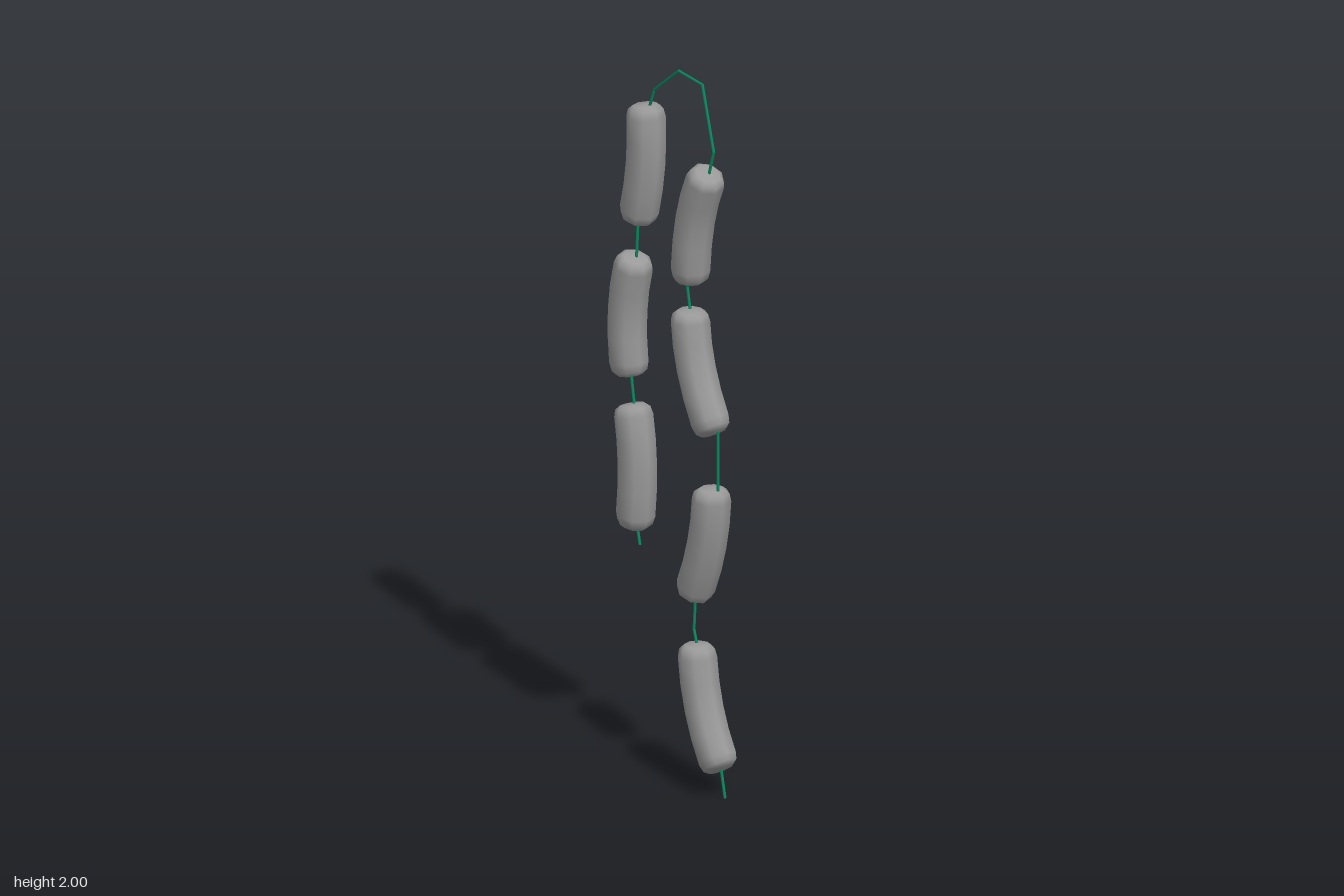
import * as THREE from 'three';
import { mergeVertices } from 'three/addons/utils/BufferGeometryUtils.js';

const point = ([z, y]) => new THREE.Vector3(0, y, z);
const X = new THREE.Vector3(1, 0, 0);

// Sausage profile: radius, position along the length (0 bottom, 1 top)
const PROFILE = [
  [0, 0], [0.034, 0.008], [0.048, 0.04], [0.053, 0.1], [0.053, 0.3], [0.053, 0.5],
  [0.053, 0.7], [0.053, 0.9], [0.048, 0.96], [0.034, 0.992], [0, 1],
].map(([r, t]) => new THREE.Vector2(r, t));

// Eight-sided lathe bent along an arc through three points
function sausageGeometry(bottom, mid, top) {
  const control = mid.clone().multiplyScalar(2).addScaledVector(bottom, -0.5).addScaledVector(top, -0.5);
  const curve = new THREE.QuadraticBezierCurve3(bottom, control, top);
  let geo = new THREE.LatheGeometry(PROFILE, 8);
  const pos = geo.attributes.position;
  for (let i = 0; i < pos.count; i++) {
    const t = THREE.MathUtils.clamp(pos.getY(i), 0, 1);
    const side = new THREE.Vector3().crossVectors(X, curve.getTangent(t));
    const p = curve.getPoint(t).addScaledVector(X, pos.getX(i)).addScaledVector(side, pos.getZ(i));
    pos.setXYZ(i, p.x, p.y, p.z);
  }
  geo.deleteAttribute('uv');
  geo.deleteAttribute('normal');
  geo = mergeVertices(geo, 1e-5);
  geo.computeVertexNormals();
  return geo;
}

// Each sausage as [z, y] of its top, middle and bottom
const FRONT_CHAIN = [
  [[0.16, 1.75], [0.1, 1.6], [0.078, 1.415]],
  [[0.078, 1.34], [0.105, 1.18], [0.188, 1.02]],
  [[0.175, 0.865], [0.153, 0.7], [0.088, 0.535]],
  [[0.108, 0.405], [0.14, 0.23], [0.22, 0.08]],
];
const BACK_CHAIN = [
  [[-0.125, 1.86], [-0.124, 1.69], [-0.162, 1.52]],
  [[-0.168, 1.415], [-0.205, 1.25], [-0.193, 1.07]],
  [[-0.185, 0.995], [-0.161, 0.83], [-0.174, 0.65]],
];

// Exposed stretches of string, [z, y]
const STRINGS = [
  [[0.21, 0.1], [0.232, 0.005]],
  [[0.1, 0.55], [0.092, 0.44], [0.108, 0.39]],
  [[0.201, 0.85], [0.201, 1.03]],
  [[0.077, 1.43], [0.062, 1.4], [0.078, 1.32]],
  [[0.158, 1.74], [0.181, 1.815], [0.13, 1.99], [0.024, 1.997], [-0.087, 1.91], [-0.115, 1.84]],
  [[-0.159, 1.54], [-0.168, 1.4]],
  [[-0.194, 1.09], [-0.175, 0.98]],
  [[-0.168, 0.67], [-0.152, 0.605]],
];

export function createModel() {
  const group = new THREE.Group();
  const meat = new THREE.MeshStandardMaterial({ color: 0x999999 });
  const green = new THREE.MeshStandardMaterial({ color: 0x0a8a62 });

  // Two hanging rows of sausages
  for (const [name, chain] of [['frontChain', FRONT_CHAIN], ['backChain', BACK_CHAIN]]) {
    const row = new THREE.Group();
    row.name = name;
    chain.forEach(([top, mid, bottom], i) => {
      const mesh = new THREE.Mesh(sausageGeometry(point(bottom), point(mid), point(top)), meat);
      mesh.name = `sausage${i + 1}`;
      row.add(mesh);
    });
    group.add(row);
  }

  // Thin string in straight segments
  const string = new THREE.Group();
  string.name = 'string';
  string.position.x = 0.002;
  for (const path of STRINGS) {
    for (let i = 1; i < path.length; i++) {
      const a = point(path[i - 1]);
      const b = point(path[i]);
      const dir = b.clone().sub(a);
      const seg = new THREE.Mesh(new THREE.CylinderGeometry(0.004, 0.004, dir.length() + 0.002, 6), green);
      seg.position.copy(a).add(b).multiplyScalar(0.5);
      seg.quaternion.setFromUnitVectors(new THREE.Vector3(0, 1, 0), dir.normalize());
      seg.name = 'stringSegment';
      string.add(seg);
    }
  }
  group.add(string);
  return group;
}
